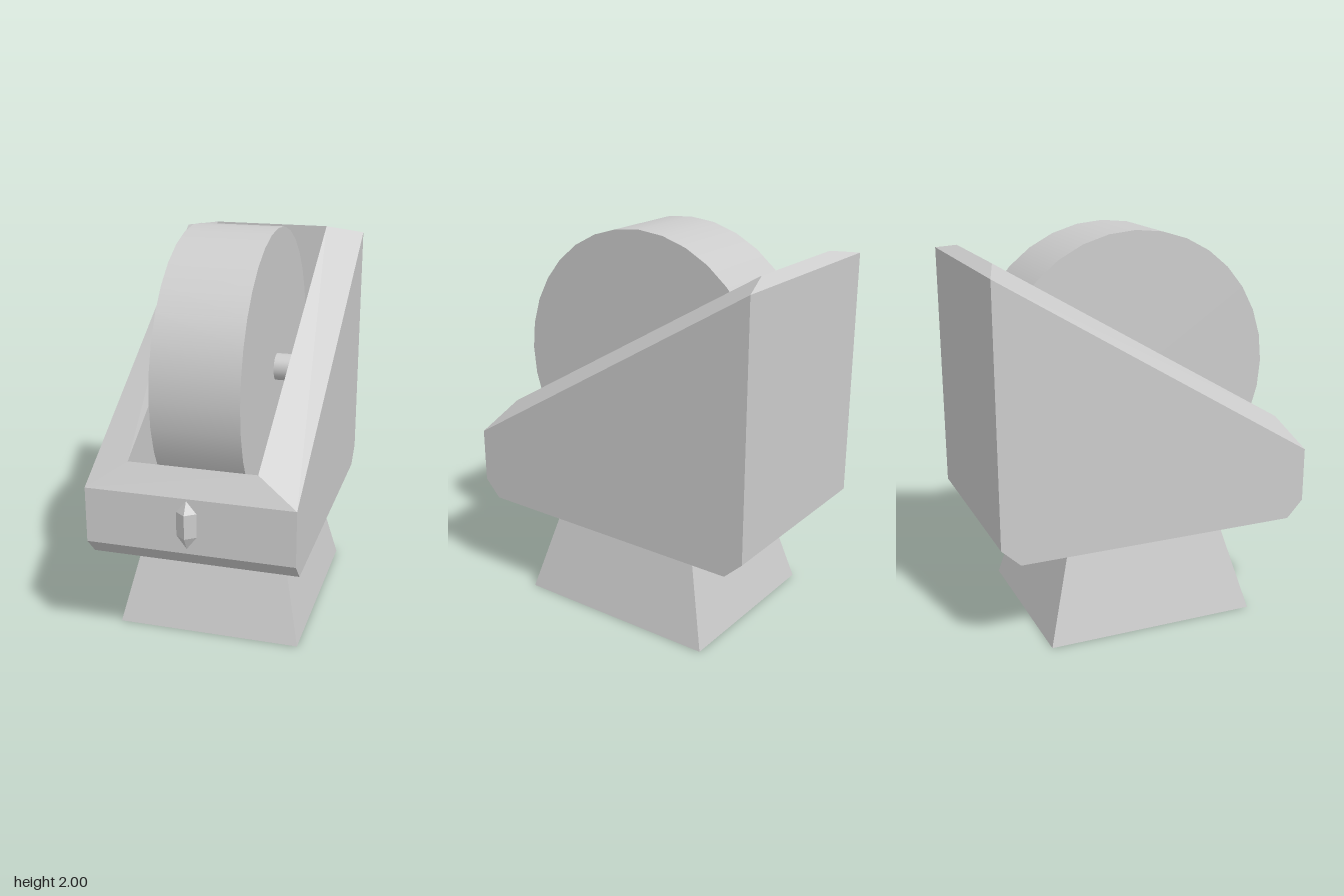
import * as THREE from 'three';

const material = new THREE.MeshStandardMaterial({ color: 0xcccccc });
const flatMaterial = new THREE.MeshStandardMaterial({ color: 0xcccccc, flatShading: true });

// Four-cornered ring: half width, then z and y of the front and back edges
const ring = (hx, zf, yf, zb, yb) => [[-hx, yf, zf], [hx, yf, zf], [hx, yb, zb], [-hx, yb, zb]];

// Skins a series of rings with flat quads and closes both ends
function loft(rings) {
  const positions = [];
  const quad = (a, b, c, d) => positions.push(...a, ...b, ...c, ...a, ...c, ...d);
  const first = rings[0], last = rings[rings.length - 1];
  quad(first[0], first[3], first[2], first[1]);
  for (let i = 0; i < rings.length - 1; i++) {
    for (let k = 0; k < 4; k++) {
      const n = (k + 1) % 4;
      quad(rings[i][k], rings[i][n], rings[i + 1][n], rings[i + 1][k]);
    }
  }
  quad(...last);
  const geometry = new THREE.BufferGeometry();
  geometry.setAttribute('position', new THREE.Float32BufferAttribute(positions, 3));
  geometry.computeVertexNormals();
  return geometry;
}

export function createModel() {
  const model = new THREE.Group();
  const add = (name, geometry, mat = material) => {
    const mesh = new THREE.Mesh(geometry, mat);
    mesh.name = name;
    model.add(mesh);
    return mesh;
  };

  // Flared foot
  add('pedestal', loft([
    ring(0.47, 0.52, 0, -0.58, 0),
    ring(0.355, 0.38, 0.5, -0.44, 0.5),
  ]), flatMaterial);

  // Wedge-shaped housing: chamfered base, outer walls, bevelled rim, open well
  add('housing', loft([
    ring(0.515, 0.715, 0.5, -0.74, 0.5),
    ring(0.515, 0.8, 0.59, -0.835, 0.59),
    ring(0.515, 0.8, 0.87, -0.835, 1.865),
    ring(0.317, 0.735, 1.0, -0.77, 1.9),
    ring(0.317, 0.735, 0.54, -0.77, 0.54),
  ]), flatMaterial);

  // Wheel and its axle, lying along x
  const lying = (radius, length, sides) =>
    new THREE.CylinderGeometry(radius, radius, length, sides).rotateZ(Math.PI / 2);
  add('wheel', lying(0.712, 0.44, 32)).position.set(-0.003, 1.288, -0.027);
  add('axle', lying(0.069, 0.64, 32)).position.set(0, 1.29, -0.027);

  // Pointed stud on the front face
  const stud = [[0, 0.615], [0.05, 0.68], [0.05, 0.8], [0, 0.86]].map(p => new THREE.Vector2(...p));
  const frontStud = add('frontStud', new THREE.LatheGeometry(stud, 4), flatMaterial);
  frontStud.scale.z = 0.75;
  frontStud.position.set(-0.01, 0, 0.8);

  return model;
}
